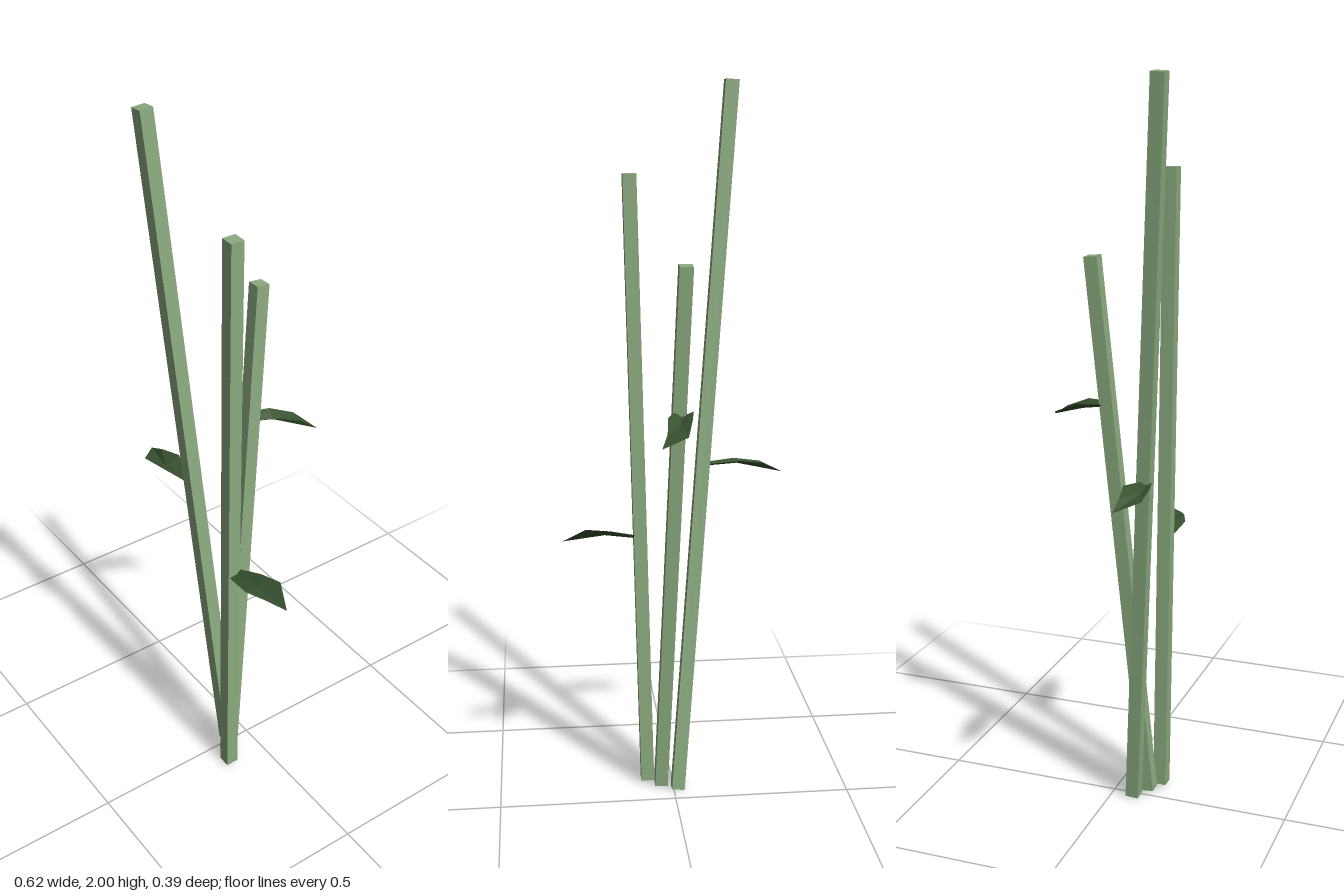
import * as THREE from 'three';

const stemGreen = new THREE.MeshStandardMaterial({ color: 0x8bab7f, flatShading: true });
stemGreen.name = 'stemGreen';
const leafGreen = new THREE.MeshStandardMaterial({ color: 0x38522f, flatShading: true, side: THREE.DoubleSide });
leafGreen.name = 'leafGreen';

// Square stalk running between the centres of its two ends
function makeStem(name, bottom, top) {
  const a = new THREE.Vector3(...bottom), b = new THREE.Vector3(...top);
  const axis = b.clone().sub(a);
  const mesh = new THREE.Mesh(new THREE.BoxGeometry(0.037, axis.length(), 0.037), stemGreen);
  mesh.quaternion.setFromUnitVectors(new THREE.Vector3(0, 1, 0), axis.normalize());
  mesh.position.copy(a).add(b).multiplyScalar(0.5);
  mesh.name = name;
  return mesh;
}

// Folded blade: one edge, the fold line and the other edge, meeting at the tip.
// Points: base edge/fold/edge, middle edge/fold/edge, outer edge/edge, tip
function makeLeaf(name, points) {
  const g = new THREE.BufferGeometry();
  g.setAttribute('position', new THREE.Float32BufferAttribute(points.flat(), 3));
  g.setIndex([
    0, 1, 3, 1, 4, 3, 1, 2, 4, 2, 5, 4,
    3, 4, 6, 4, 8, 6, 4, 5, 7, 4, 7, 8,
  ]);
  const flat = g.toNonIndexed();
  flat.computeVertexNormals();
  // Keep the upper side as the front of every face
  const p = flat.attributes.position, n = flat.attributes.normal;
  const v = new THREE.Vector3(), w = new THREE.Vector3();
  for (let i = 0; i < p.count; i += 3) {
    if (n.getY(i) >= 0) continue;
    v.fromBufferAttribute(p, i + 1);
    w.fromBufferAttribute(p, i + 2);
    p.setXYZ(i + 1, w.x, w.y, w.z);
    p.setXYZ(i + 2, v.x, v.y, v.z);
  }
  flat.computeVertexNormals();
  const mesh = new THREE.Mesh(flat, leafGreen);
  mesh.name = name;
  return mesh;
}

export function createModel() {
  const group = new THREE.Group();
  group.name = 'leafyStems';

  group.add(
    makeStem('tallStem', [-0.012, 0.003, 0.062], [-0.168, 1.998, 0.175]),
    makeStem('shortStem', [0.034, 0.005, 0.092], [-0.021, 1.535, -0.055]),
    makeStem('middleStem', [0.072, 0.01, 0.117], [0.112, 1.758, 0.117]),
  );

  group.add(
    makeLeaf('tallStemLeaf', [
      [-0.1, 0.962, 0.111], [-0.1, 0.955, 0.125], [-0.1, 0.962, 0.14],
      [-0.191, 0.974, 0.093], [-0.186, 0.957, 0.139], [-0.18, 0.966, 0.16],
      [-0.257, 0.962, 0.107], [-0.255, 0.955, 0.164],
      [-0.31, 0.937, 0.107],
    ]),
    makeLeaf('shortStemLeaf', [
      [-0.045, 1.145, -0.028], [-0.015, 1.133, -0.028], [0.008, 1.145, -0.04],
      [-0.034, 1.138, -0.1], [-0.004, 1.122, -0.09], [0.03, 1.142, -0.086],
      [-0.016, 1.108, -0.168], [0.037, 1.115, -0.152],
      [0.055, 1.085, -0.195],
    ]),
    makeLeaf('middleStemLeaf', [
      [0.105, 0.766, 0.098], [0.105, 0.755, 0.107], [0.105, 0.752, 0.132],
      [0.175, 0.786, 0.077], [0.189, 0.767, 0.104], [0.193, 0.767, 0.141],
      [0.243, 0.797, 0.063], [0.254, 0.768, 0.118],
      [0.308, 0.757, 0.09],
    ]),
  );
  return group;
}
